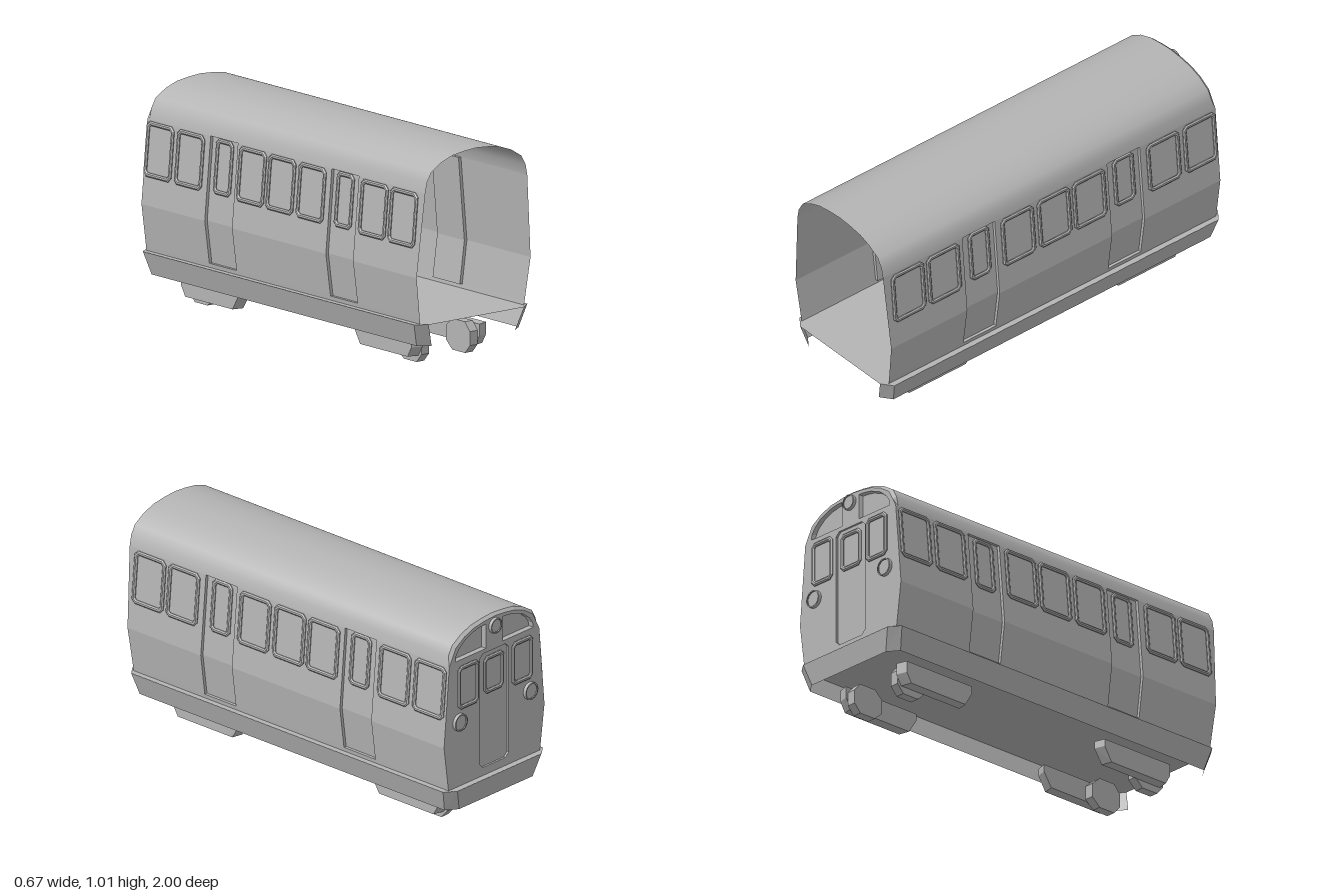
import * as THREE from 'three';

const grey = new THREE.MeshStandardMaterial({ color: 0xb4b4b4, side: THREE.DoubleSide });
grey.name = 'body grey';

const BACK = -0.968;
// the open end leans slightly forward towards the roof
const frontZ = y => 0.97 + 0.03 * Math.min(1, Math.max(0, (y - 0.23) / 0.62));

function add(parent, name, geometry) {
  const mesh = new THREE.Mesh(geometry, grey);
  mesh.name = name;
  parent.add(mesh);
  return mesh;
}

// surface between two rows of [x, y, z] points
function ribbon(rowA, rowB, flat = true) {
  const n = rowA.length, index = [];
  for (let i = 0; i < n - 1; i++) index.push(i, i + 1, n + i, i + 1, n + i + 1, n + i);
  let g = new THREE.BufferGeometry();
  g.setAttribute('position', new THREE.Float32BufferAttribute([...rowA, ...rowB].flat(), 3));
  g.setIndex(index);
  if (flat) g = g.toNonIndexed();
  g.computeVertexNormals();
  return g;
}

const atZ = (pts, z) => pts.map(([x, y]) => [x, y, z]);

// [x, y] profile stretched along z; no z1 means it runs to the open end
const skin = (profile, z0, z1, flat = true) => ribbon(
  atZ(profile, z0), profile.map(([x, y]) => [x, y, z1 ?? frontZ(y)]), flat);

const shapeOf = pts => new THREE.Shape(pts.map(p => new THREE.Vector2(...p)));

function flatPanel(pts, z, holes = []) {
  const s = shapeOf(pts);
  s.holes = holes.map(shapeOf);
  return new THREE.ShapeGeometry(s).translate(0, 0, z);
}

function cutRect(w, h, c) {
  const a = w / 2, b = h / 2;
  return [[-a + c, -b], [a - c, -b], [a, -b + c], [a, b - c],
    [a - c, b], [-a + c, b], [-a, b - c], [-a, -b + c]];
}

// raised, bevelled window surround facing +z, its back at z = 0
function windowFrame(w, h) {
  const s = shapeOf(cutRect(w - 0.012, h - 0.012, 0.016));
  s.holes.push(shapeOf(cutRect(w - 0.028, h - 0.028, 0.012)));
  return new THREE.ExtrudeGeometry(s, {
    depth: 0.004, bevelThickness: 0.005, bevelSize: 0.006, bevelSegments: 1
  }).translate(0, 0, 0.005);
}

const WALL = [[0.305, 0.23], [0.308, 0.25], [0.335, 0.45], [0.30, 0.84]];
const ROOF = [[0.30, 0.84], [0.29, 0.89], [0.265, 0.935], [0.205, 0.972],
  [0.14, 0.995], [0.07, 1.005], [0, 1.01]];
const mirrored = pts => pts.map(([x, ...r]) => [-x, ...r]).reverse();
const bothHalves = half => [...half, ...mirrored(half).slice(1)];

function sideWall() {
  const side = new THREE.Group();
  const doors = [[-0.52, -0.327], [0.338, 0.53]];
  for (const [a, b] of [[BACK, -0.52], [-0.327, 0.338], [0.53, undefined]])
    add(side, 'sidePanel', skin(WALL, a, b));

  // recessed doors with jambs, sill and head
  const outer = WALL.slice(1);
  const inner = outer.map(([x, y]) => [x - 0.015, y]);
  for (const [a, b] of doors) {
    add(side, 'sideDoor', skin(inner, a, b));
    add(side, 'doorSill', skin([outer[0], inner[0]], a, b));
    add(side, 'doorHead', skin([outer[2], inner[2]], a, b));
    add(side, 'panelBelowDoor', skin(WALL.slice(0, 2), a, b));
    for (const z of [a, b])
      add(side, 'doorJamb', flatPanel([...outer, ...inner.slice().reverse()], z));
  }

  // windows follow the lean of the upper wall
  const lean = Math.atan2(0.035, 0.39);
  for (const z of [0.863, 0.654, 0.431, 0.214, 0, -0.208, -0.424, -0.647, -0.863]) {
    const small = Math.abs(Math.abs(z) - 0.43) < 0.02;
    const frame = add(side, small ? 'doorWindow' : 'sideWindow', windowFrame(small ? 0.123 : 0.193, 0.255));
    frame.rotation.set(-lean, Math.PI / 2, 0, 'YXZ');
    frame.position.set(small ? 0.297 : 0.312, 0.708, z);
  }
  return side;
}

function bogieSide(dir) {
  const g = new THREE.Group();
  const prism = (pts, x0, x1) => // points are [z, y]
    new THREE.ExtrudeGeometry(shapeOf(pts.map(([z, y]) => [-z * dir, y])), { depth: x1 - x0, bevelEnabled: false })
      .rotateY(Math.PI / 2).translate(x0, 0, 0);
  const frame = prism([[0.385, 0.135], [0.385, 0.1], [0.43, 0.033], [0.79, 0.033],
    [0.82, 0.08], [0.82, 0.135]], 0.167, 0.22);
  // the outer face is shorter, so the ends slant
  const p = frame.attributes.position, mid = 0.6025 * dir;
  for (let i = 0; i < p.count; i++)
    if (p.getX(i) > 0.2) p.setZ(i, mid + (p.getZ(i) - mid) * 0.93);
  frame.computeVertexNormals();
  add(g, 'bogieFrame', frame);
  add(g, 'wheel', prism([[0.685, 0], [0.775, 0], [0.81, 0.04], [0.81, 0.105], [0.775, 0.145],
    [0.685, 0.145], [0.64, 0.105], [0.64, 0.04]], 0.12, 0.165));
  if (dir < 0) g.position.z = -0.02;
  return g;
}

function cabEnd() {
  const cab = new THREE.Group();
  // rounded-off rim between roof and end wall
  const inset = ROOF.map(([x, y], i) => i ? [x * 0.965, y - 0.012] : [x, y]);
  add(cab, 'roofRim', ribbon(atZ(bothHalves(ROOF), BACK + 0.015), atZ(bothHalves(inset), BACK)));

  const door = cutRect(0.19, 0.565, 0.02).map(([x, y]) => [x, y + 0.5525]);
  const pane = [[0.055, 0.855], [0.26, 0.855], [0.256, 0.88], [0.235, 0.91],
    [0.195, 0.942], [0.135, 0.966], [0.09, 0.974], [0.055, 0.976]];
  const openings = [door, pane, mirrored(pane)];
  add(cab, 'cabWall', flatPanel(bothHalves([...WALL, ...inset.slice(1)]), BACK, openings));

  // sunken door and upper panes with sloping edges
  openings.forEach((rim, i) => {
    const cx = [0, 0.155, -0.155][i], cy = i ? 0.913 : 0.5525;
    const k = i ? 0.92 : 1, z = BACK + (i ? 0.02 : 0.01);
    const sunk = rim.map(([x, y]) => [cx + (x - cx) * k, cy + (y - cy) * k]);
    add(cab, i ? 'upperPane' : 'cabDoor', flatPanel(sunk, z));
    add(cab, i ? 'paneEdge' : 'cabDoorEdge', ribbon(atZ([...rim, rim[0]], BACK), atZ([...sunk, sunk[0]], z)));
  });

  // raised window surrounds facing backwards
  for (const x of [-0.18, 0, 0.18]) {
    const f = add(cab, 'cabWindow', windowFrame(x ? 0.14 : 0.135, x ? 0.215 : 0.185));
    f.rotation.y = Math.PI;
    f.position.set(x, 0.72, x ? BACK : BACK + 0.01);
  }

  // round lamps with a slim rim
  for (const [x, y, r] of [[-0.235, 0.55, 0.042], [0.235, 0.55, 0.042], [0, 0.953, 0.037]]) {
    add(cab, 'lamp', new THREE.CircleGeometry(r * 0.85, 20)
      .rotateY(Math.PI).translate(x, y, BACK - 0.011));
    add(cab, 'lampRim', new THREE.CylinderGeometry(r, r, 0.016, 20, 1, true)
      .rotateX(Math.PI / 2).translate(x, y, BACK - 0.008));
    add(cab, 'lampLip', new THREE.RingGeometry(r * 0.85, r, 20)
      .rotateY(Math.PI).translate(x, y, BACK - 0.016));
  }
  return cab;
}

export function createModel() {
  const car = new THREE.Group();
  car.name = 'railCarriage';

  add(car, 'roof', skin(bothHalves(ROOF), BACK + 0.015, undefined, false));

  for (const s of [1, -1]) {
    const side = sideWall();
    side.name = s > 0 ? 'leftSide' : 'rightSide';
    side.scale.x = s;
    car.add(side);
    for (const dir of [1, -1]) {
      const bogie = bogieSide(dir);
      bogie.name = dir > 0 ? 'frontBogieSide' : 'backBogieSide';
      bogie.scale.x = s;
      car.add(bogie);
    }
  }

  const cab = cabEnd();
  cab.name = 'cabEnd';
  car.add(cab);

  // sloping skirt with cut corners, left open across the front
  const top = [[0.28, 0.23, 1], [0.333, 0.23, 0.96], [0.333, 0.23, -0.96], [0.28, 0.23, -1]];
  const low = [[0.245, 0.123, 0.978], [0.3, 0.123, 0.938], [0.3, 0.123, -0.938], [0.245, 0.123, -0.978]];
  const topRing = [...top, ...mirrored(top)];
  add(car, 'skirt', ribbon(topRing, [...low, ...mirrored(low)]));

  add(car, 'floor', new THREE.ShapeGeometry(shapeOf(topRing.map(([x, , z]) => [x, z])))
    .rotateX(Math.PI / 2).translate(0, 0.229, 0));
  return car;
}
